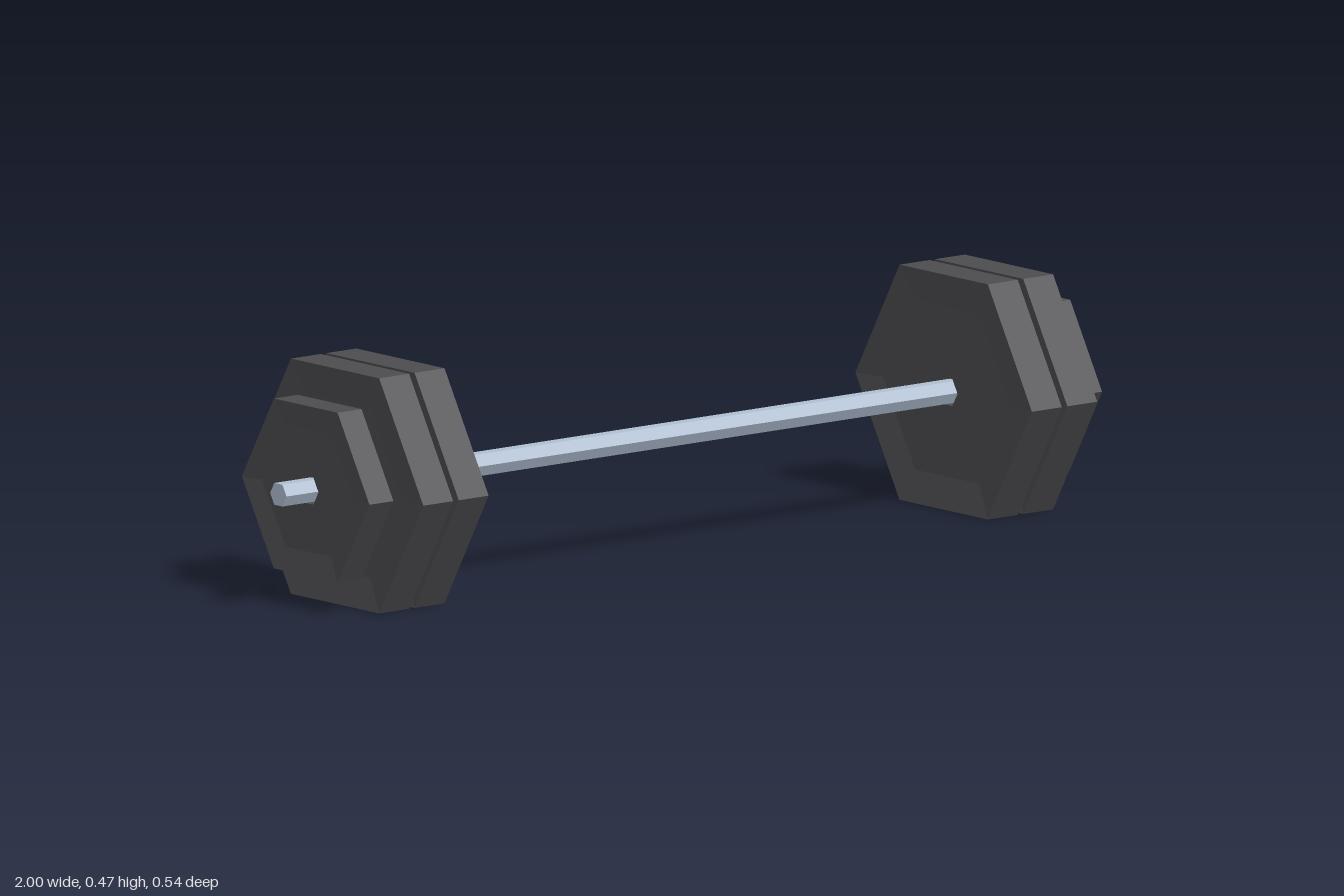
import * as THREE from 'three';

const HOLE = 0.031;
const AXIS_Y = 0.27 * Math.sin(Math.PI / 3);

// Six-sided weight plate with a shallow dish on both faces and a hole through it
function plateGeometry(radius, thickness) {
  const h = thickness / 2;
  const flat = radius * 0.725;
  const dish = radius * 0.035;
  const profile = [
    [HOLE, -h + dish], [flat, -h + dish], [radius, -h],
    [radius, h], [flat, h - dish], [HOLE, h - dish], [HOLE, -h + dish],
  ].map(([r, y]) => new THREE.Vector2(r, y));
  return new THREE.LatheGeometry(profile, 6).rotateZ(Math.PI / 2);
}

export function createModel() {
  const iron = new THREE.MeshStandardMaterial({ color: 0x4c4b4f, flatShading: true });
  iron.name = 'dark iron';
  const steel = new THREE.MeshStandardMaterial({ color: 0xb0c0d2, flatShading: true });
  steel.name = 'pale steel';

  const barbell = new THREE.Group();
  barbell.name = 'barbell';

  // Hexagonal bar
  const bar = new THREE.Mesh(new THREE.CylinderGeometry(0.025, 0.025, 2, 6).rotateZ(Math.PI / 2), steel);
  bar.name = 'bar';
  bar.position.y = AXIS_Y;
  barbell.add(bar);

  // Two large plates and one small plate on each end
  const large = plateGeometry(0.27, 0.076);
  const small = plateGeometry(0.195, 0.061);
  const plates = [
    ['innerPlate', large, 0.728],
    ['middlePlate', large, 0.818],
    ['outerPlate', small, 0.9],
  ];
  for (const [side, sign] of [['left', 1], ['right', -1]]) {
    const stack = new THREE.Group();
    stack.name = side + 'Weights';
    for (const [name, geometry, x] of plates) {
      const plate = new THREE.Mesh(geometry, iron);
      plate.name = name;
      plate.position.set(sign * x, AXIS_Y, 0);
      stack.add(plate);
    }
    barbell.add(stack);
  }
  return barbell;
}
